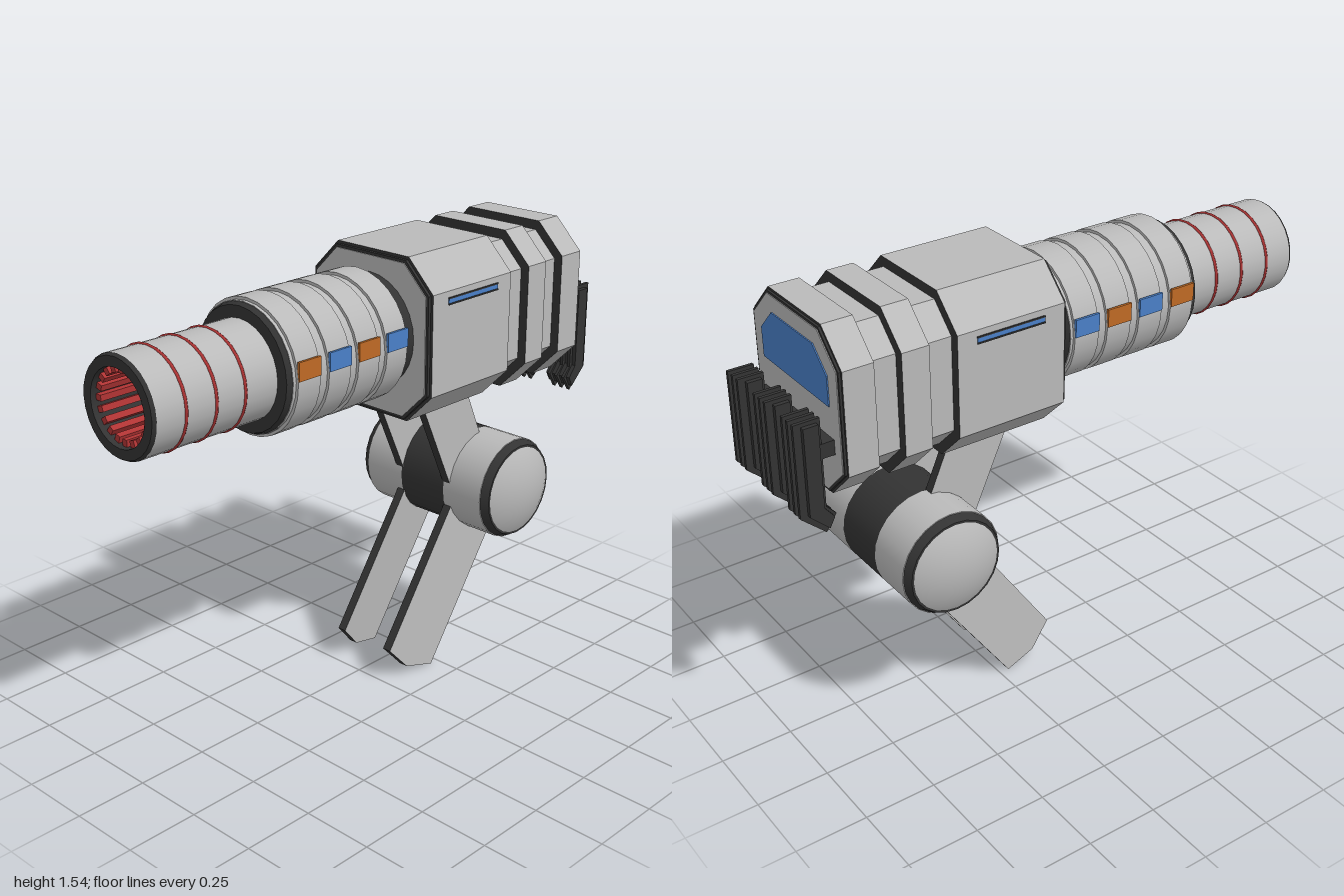
import * as THREE from 'three';

const mat = (name, color, side = THREE.FrontSide) => {
  const m = new THREE.MeshStandardMaterial({ color, side });
  m.name = name;
  return m;
};

export function createModel() {
  const root = new THREE.Group();
  const grey = mat('light grey', 0xbababa);
  const dark = mat('charcoal', 0x333333, THREE.DoubleSide);
  const blue = mat('blue', 0x4a80c8);
  const orange = mat('orange', 0xbf6a25);
  const red = mat('red', 0xb03434);
  const CX = -0.01, BY = 1.263, GY = 1.272;

  const add = (name, geo, material, parent = root) => {
    const m = new THREE.Mesh(geo, material);
    m.name = name;
    parent.add(m);
    return m;
  };
  const shapeOf = pts => new THREE.Shape(pts.map(p => new THREE.Vector2(p[0], p[1])));
  const extrude = (pts, depth) =>
    new THREE.ExtrudeGeometry(shapeOf(pts), { depth, bevelEnabled: false });
  // profile given as [z, y], thickness centred on x = 0
  const sidePlate = (pts, t) => extrude(pts, t).translate(0, 0, -t / 2).rotateY(-Math.PI / 2);
  const box = (w, h, d, x, y, z) => new THREE.BoxGeometry(w, h, d).translate(x, y, z);

  // ---- octagonal housing ----
  const housing = new THREE.Group();
  housing.name = 'housing';
  root.add(housing);
  const octagon = (name, inset, z0, z1, sides, caps) => {
    const w = 0.267 - inset, h = 0.282 - inset, c = 0.108 - inset * 0.6;
    const pts = [[w, c - h], [w, h - c], [w - c, h], [c - w, h], [-w, h - c], [-w, c - h], [c - w, -h], [w - c, -h]];
    add(name, extrude(pts, z1 - z0).translate(CX, BY, z0), [caps, sides], housing);
  };
  octagon('frontBlock', 0, -0.47, -0.075, grey, dark);
  octagon('middleRidge', 0, -0.663, -0.568, grey, dark);
  octagon('rearBlock', 0, -0.86, -0.755, grey, dark);
  octagon('grooveCore', 0.033, -0.8, -0.4, grey, dark);
  octagon('frontEdge', 0.01, -0.08, -0.064, dark, dark);
  octagon('frontFace', 0.02, -0.07, -0.061, grey, grey);
  octagon('rearEdge', 0.008, -0.868, -0.85, dark, dark);
  octagon('rearFace', 0.016, -0.871, -0.865, grey, grey);

  // rear window
  const win = [[-0.2, 1.3], [0.2, 1.3], [0.2, 1.4], [0.125, 1.475], [-0.125, 1.475], [-0.2, 1.4]];
  add('rearWindow', extrude(win, 0.005).translate(CX, 0, -0.875), blue, housing);

  // side light slots
  for (const s of [-1, 1]) {
    const x = CX + s * 0.267;
    add('slotLight', box(0.006, 0.014, 0.25, x, 1.403, -0.275), blue, housing);
    for (const dy of [-0.01, 0.01])
      add('slotEdge', box(0.009, 0.005, 0.25, x, 1.403 + dy, -0.275), dark, housing);
  }

  // ---- barrel, built along z ----
  const barrel = new THREE.Group();
  barrel.name = 'barrel';
  barrel.position.set(CX, GY, 0);
  root.add(barrel);
  const tube = (name, rBack, rFront, z0, z1, material, open = false) =>
    add(name, new THREE.CylinderGeometry(rFront, rBack, z1 - z0, 28, 1, open)
      .rotateX(Math.PI / 2).translate(0, 0, (z0 + z1) / 2), material, barrel);
  tube('neck', 0.198, 0.198, -0.08, 0, dark);
  tube('sleeveRearRim', 0.2, 0.213, -0.022, -0.008, dark);
  tube('sleeve', 0.215, 0.215, -0.01, 0.5, grey);
  tube('sleeveFrontRim', 0.213, 0.205, 0.499, 0.518, dark);
  [0.0, 0.13, 0.26, 0.393].forEach((z, i) => {
    tube('sleeveRing', 0.225, 0.225, z, z + 0.095, grey);
    for (const s of [-1, 1])
      add('colourPlate', box(0.009, 0.062, 0.094, s * 0.2245, 0.036, z + 0.0475), i % 2 ? orange : blue, barrel);
  });
  tube('muzzle', 0.165, 0.165, 0.5, 0.988, grey, true);
  tube('muzzleLip', 0.165, 0.158, 0.988, 1, dark, true);
  add('muzzleFace', new THREE.RingGeometry(0.125, 0.158, 28).translate(0, 0, 1), dark, barrel);
  tube('bore', 0.125, 0.125, 0.55, 1, dark, true);
  add('boreEnd', new THREE.CircleGeometry(0.125, 28).translate(0, 0, 0.56), dark, barrel);
  for (let i = 0; i < 20; i++)
    add('boreRib', box(0.02, 0.026, 0.42, 0, 0.115, 0.77), red, barrel).rotation.z = i * Math.PI / 10;
  for (const z of [0.648, 0.762, 0.878])
    add('redBand', new THREE.TorusGeometry(0.164, 0.006, 6, 28).translate(0, 0, z), red, barrel);

  // ---- hinge drum across x ----
  const drum = new THREE.Group();
  drum.name = 'hingeDrum';
  drum.position.set(0, 0.64, -0.51);
  root.add(drum);
  const across = (name, rLeft, rRight, x0, x1, material) =>
    add(name, new THREE.CylinderGeometry(rRight, rLeft, x1 - x0, 24)
      .rotateZ(-Math.PI / 2).translate((x0 + x1) / 2, 0, 0), material, drum);
  across('drumCentre', 0.183, 0.183, -0.1, 0.1, dark);
  for (const s of [-1, 1]) {
    const side = new THREE.Group();
    drum.add(side);
    side.name = 'drumSide';
    if (s < 0) side.rotation.y = Math.PI;
    side.add(across('drumShell', 0.183, 0.183, 0.1, 0.268, grey));
    side.add(across('drumRim', 0.18, 0.166, 0.268, 0.296, dark));
    // shallow domed cap
    const R = 0.32, a = Math.asin(0.162 / R);
    side.add(add('drumCap', new THREE.SphereGeometry(R, 24, 6, 0, Math.PI * 2, 0, a)
      .rotateZ(-Math.PI / 2).translate(0.338 - R, 0, 0), grey));
  }

  // ---- support links and legs: grey faces, dark edges ----
  const link = [[-0.18, 1.0], [-0.335, 0.66], [-0.45, 0.6], [-0.56, 0.66], [-0.41, 1.0]];
  const leg = [[-0.4, 0.665], [-0.025, 0.115], [-0.1, 0.03], [-0.215, 0.0], [-0.59, 0.545]];
  for (const s of [-1, 1]) {
    add('upperLink', sidePlate(link, 0.033).translate(s * 0.111, 0, 0), [grey, dark]);
    // the leg splays outward toward its rear edge
    const g = sidePlate(leg, 0.033);
    const p = g.attributes.position;
    for (let i = 0; i < p.count; i++) {
      const d = -0.826 * (p.getZ(i) + 0.025) - 0.563 * (p.getY(i) - 0.115);
      p.setX(i, p.getX(i) + s * (0.111 + 0.13 * d));
    }
    g.computeVertexNormals();
    add('lowerLeg', g, [grey, dark]);
  }

  // ---- three rear hooks ----
  const core = [[-0.925, 1.27], [-0.925, 0.985], [-0.893, 0.945], [-0.912, 0.91], [-0.975, 0.97], [-0.975, 1.27]];
  const fin = [[-0.912, 1.283], [-0.912, 0.98], [-0.88, 0.945], [-0.917, 0.89], [-1, 0.965], [-1, 1.283]];
  for (const x of [-0.183, -0.013, 0.163]) {
    const hook = new THREE.Group();
    hook.name = 'rearHook';
    hook.position.x = x;
    root.add(hook);
    add('hookCore', sidePlate(core, 0.106), dark, hook);
    for (const dx of [-0.032, 0, 0.032])
      add('hookFin', sidePlate(fin, 0.012).translate(dx, 0, 0), dark, hook);
    add('hookMount', box(0.08, 0.05, 0.07, 0, 1.17, -0.895), dark, hook);
  }
  return root;
}
